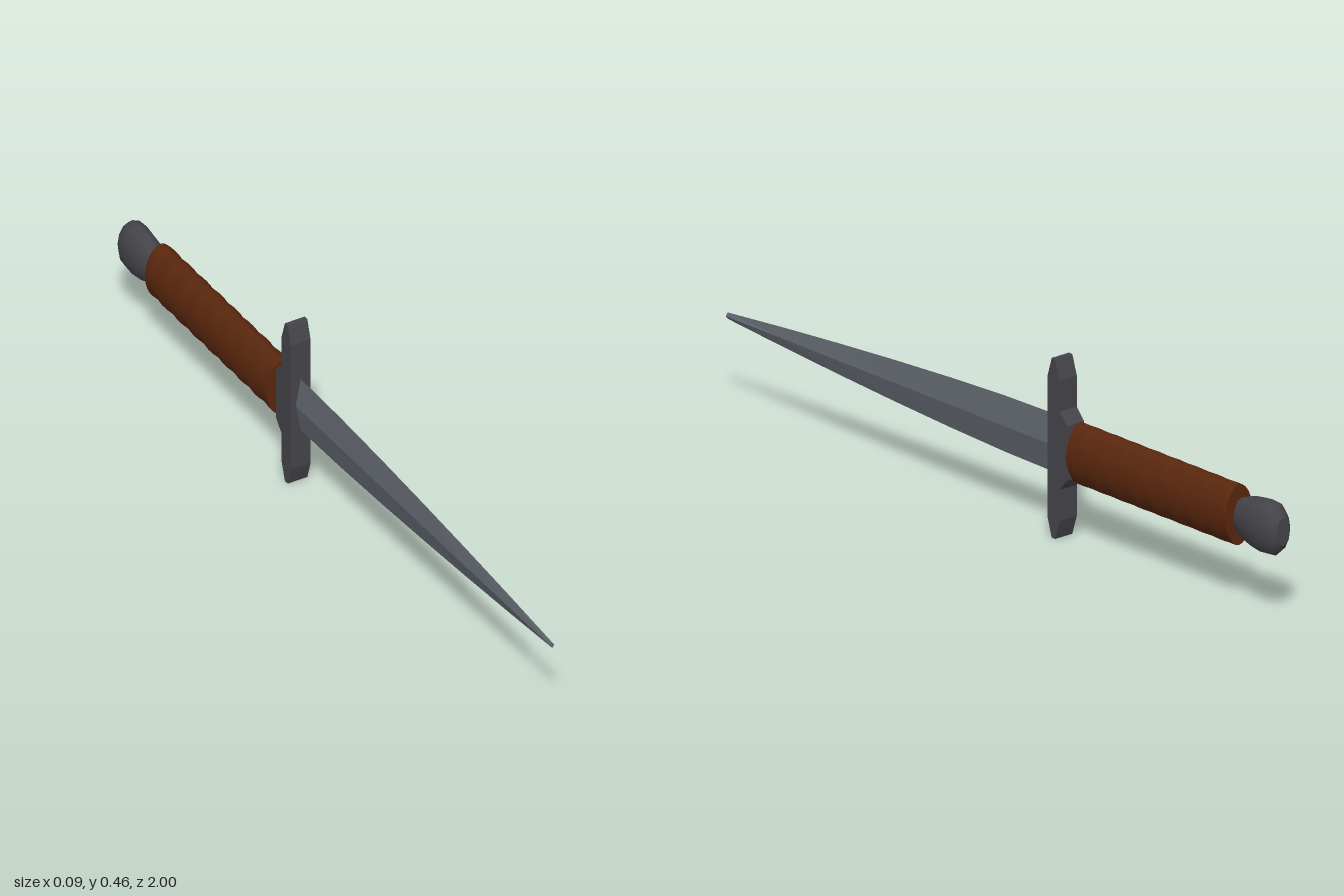
import * as THREE from 'three';

const CY = 0.23; // height of the dagger's long axis

// Skin rings of equal point count (counterclockwise seen from +z, ordered toward +z), with end caps
function loft(rings) {
  const n = rings[0].length, pos = [], idx = [];
  rings.forEach(r => r.forEach(p => pos.push(...p)));
  for (let i = 0; i < rings.length - 1; i++) {
    for (let j = 0; j < n; j++) {
      const a = i * n + j, b = i * n + (j + 1) % n;
      idx.push(a, b, b + n, a, b + n, a + n);
    }
  }
  [rings[0], rings[rings.length - 1]].forEach((ring, end) => {
    const base = pos.length / 3;
    ring.forEach(p => pos.push(...p));
    pos.push(0, CY, ring[0][2]);
    for (let j = 0; j < n; j++) {
      const k = (j + 1) % n;
      idx.push(base + n, base + (end ? j : k), base + (end ? k : j));
    }
  });
  const g = new THREE.BufferGeometry();
  g.setAttribute('position', new THREE.Float32BufferAttribute(pos, 3));
  g.setIndex(idx);
  g.computeVertexNormals();
  return g;
}

// Oval ring at z; wave(angle) scales the radius
function oval(z, rx, ry, sides, wave = () => 1) {
  return Array.from({ length: sides }, (_, j) => {
    const t = (j / sides) * Math.PI * 2, w = wave(t);
    return [rx * w * Math.cos(t), CY + ry * w * Math.sin(t), z];
  });
}

export function createModel() {
  const group = new THREE.Group();
  group.name = 'dagger';
  const material = (name, color) => {
    const m = new THREE.MeshStandardMaterial({ color });
    m.name = name;
    return m;
  };
  const steel = material('blade steel', 0x5f646c);
  const iron = material('dark iron', 0x45444a);
  const leather = material('brown leather', 0x5a270e);
  steel.flatShading = true;

  const add = (name, geometry, mat) => {
    const mesh = new THREE.Mesh(geometry, mat);
    mesh.name = name;
    group.add(mesh);
  };

  // Blade: diamond section [z, half thickness, half height] tapering to a blunt point
  const blade = [
    [-0.2, 0.014, 0.075], [0, 0.013, 0.072], [0.2, 0.012, 0.064], [0.4, 0.011, 0.053],
    [0.6, 0.01, 0.04], [0.8, 0.008, 0.025], [1, 0.006, 0.008],
  ];
  add('blade', loft(blade.map(([z, rx, ry]) => oval(z, rx, ry, 4))), steel);

  // Crossguard: side profile [-z, height above axis], mirrored top to bottom
  const top = [[0.252, 0.07], [0.226, 0.1], [0.226, 0.18], [0.21, 0.23], [0.197, 0.23], [0.182, 0.18]];
  const profile = [...top, ...top.map(([u, y]) => [u, -y]).reverse()];
  const guard = new THREE.ExtrudeGeometry(
    new THREE.Shape(profile.map(([u, y]) => new THREE.Vector2(u, CY + y))),
    { depth: 0.055, bevelEnabled: false });
  guard.rotateY(Math.PI / 2).translate(-0.0275, 0, 0);
  add('crossguard', guard, iron);

  // Grip: oval handle with shallow wrapped ridges, strongest on the diagonals
  const steps = 48, rings = [];
  for (let i = 0; i <= steps; i++) {
    const f = i / steps;
    rings.push(oval(-0.84 + 0.573 * f, 0.044, 0.078, 24, t =>
      1 - 0.06 * Math.sin(2 * t) ** 2 * (0.5 + 0.5 * Math.cos(f * Math.PI * 16 + t))));
  }
  add('grip', loft(rings), leather);

  // Pommel: flattened knob, [z, half height]
  const knob = [
    [-1, 0.036], [-0.99, 0.053], [-0.973, 0.068], [-0.94, 0.071], [-0.9, 0.065], [-0.852, 0.048],
  ];
  add('pommel', loft(knob.map(([z, r]) => oval(z, r * 0.59, r, 12))), iron);

  return group;
}
